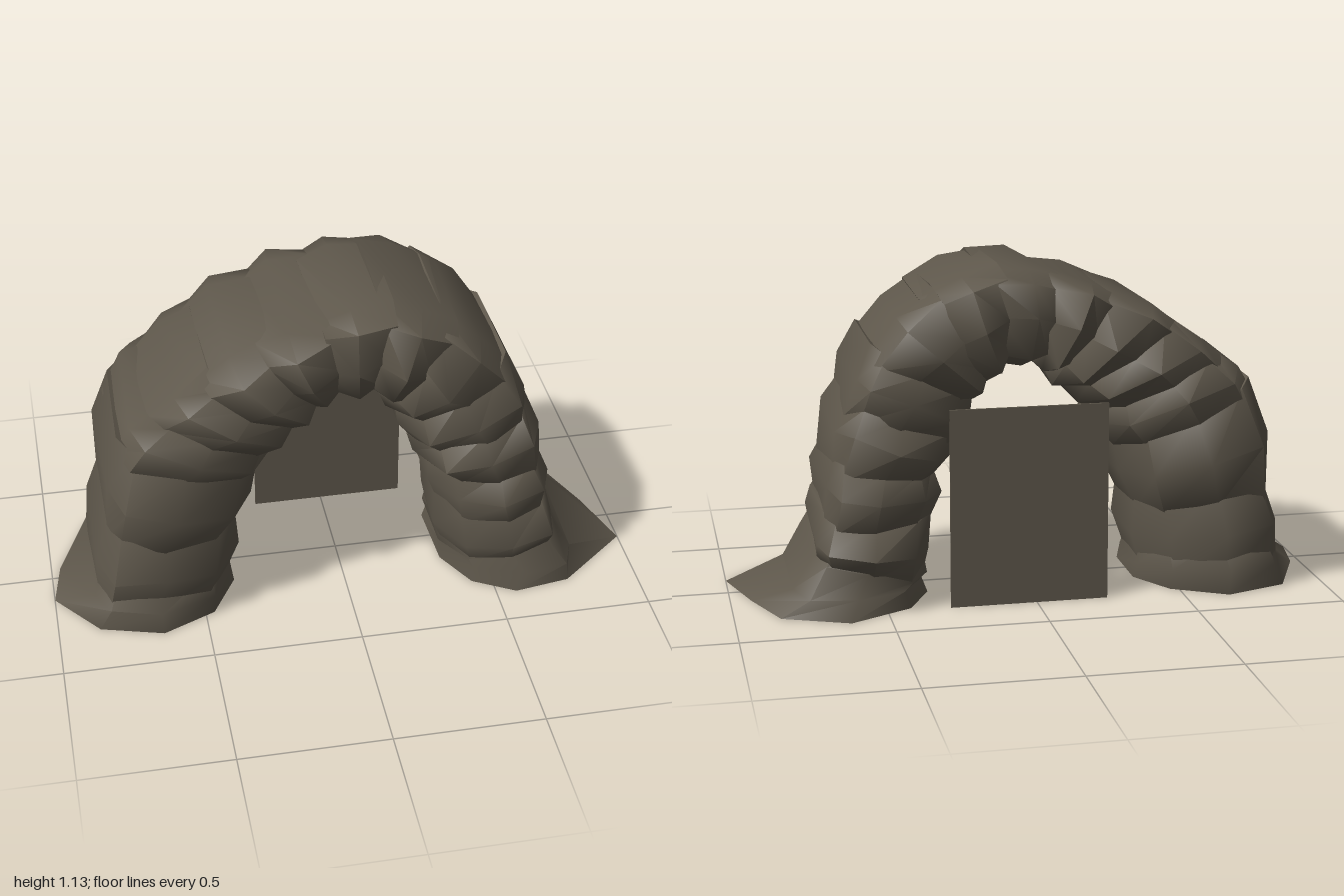
import * as THREE from 'three';
import { toCreasedNormals } from 'three/addons/utils/BufferGeometryUtils.js';

// Block cross-section, square outside and rounded inside: [radial, depth], both -1..1
const SECTION = [[1, -0.62], [1, 0.62], [0.82, 0.93], [0.1, 1], [-0.65, 0.83],
  [-1, 0.36], [-1, -0.36], [-0.65, -0.83], [0.1, -1], [0.82, -0.93]];

// Joints between stones, from left to right: inner x, y, outer x, y
const JOINTS = [
  [-0.39, 0.06, -0.87, 0.09], [-0.36, 0.28, -0.82, 0.36], [-0.28, 0.49, -0.77, 0.67],
  [-0.23, 0.6, -0.65, 0.8], [-0.13, 0.68, -0.48, 0.92], [-0.07, 0.74, -0.28, 1.02],
  [-0.03, 0.78, -0.07, 1.09], [0.08, 0.77, 0.13, 1.12], [0.13, 0.71, 0.35, 1.04],
  [0.17, 0.65, 0.54, 0.86], [0.23, 0.53, 0.62, 0.68], [0.3, 0.42, 0.67, 0.48],
  [0.32, 0.27, 0.70, 0.3], [0.35, 0.07, 0.72, 0.17]];

// Ground outlines of the feet: x, z
const FOOT_A = [[-0.97, -0.05], [-1, 0.12], [-0.86, 0.3], [-0.65, 0.36], [-0.47, 0.28],
  [-0.38, 0.12], [-0.38, -0.11], [-0.47, -0.26], [-0.65, -0.36], [-0.86, -0.29]];
const FOOT_B = [[0.93, -0.1], [1, 0.13], [0.76, 0.33], [0.57, 0.36], [0.43, 0.28],
  [0.35, 0.13], [0.34, -0.12], [0.42, -0.28], [0.63, -0.39], [0.85, -0.3]];

let seed = 11;
const jitter = (a) => {
  seed = (seed * 16807) % 2147483647;
  return (seed / 2147483647 - 0.5) * 2 * a;
};

// Ring of points around the line from inner to outer edge
function ring([ix, iy, ox, oy], scale, depth, rough = 0.012) {
  const mx = (ix + ox) / 2, my = (iy + oy) / 2;
  const ex = (ox - ix) / 2 * scale, ey = (oy - iy) / 2 * scale;
  return SECTION.map(([u, w]) => [
    mx + ex * u + jitter(rough),
    Math.max(0, my + ey * u + jitter(rough)),
    w * depth + jitter(rough)]);
}

const mix = (a, b, t) => a.map((v, i) => v + (b[i] - v) * t);

// Closed rock skinned over successive rings
function rock(rings, material, name) {
  const n = SECTION.length, pos = [], index = [];
  rings.forEach((r) => r.forEach((p) => pos.push(...p)));
  for (let k = 0; k < rings.length - 1; k++) {
    for (let i = 0; i < n; i++) {
      const a = k * n + i, b = k * n + (i + 1) % n;
      index.push(a, b, b + n, a, b + n, a + n);
    }
  }
  const last = (rings.length - 1) * n;
  for (let i = 1; i < n - 1; i++) {
    index.push(0, i + 1, i, last, last + i, last + i + 1);
  }
  const geo = new THREE.BufferGeometry();
  geo.setAttribute('position', new THREE.Float32BufferAttribute(pos, 3));
  geo.setIndex(index);
  const mesh = new THREE.Mesh(toCreasedNormals(geo, 1.1), material);
  mesh.name = name;
  return mesh;
}

export function createModel() {
  const group = new THREE.Group();
  group.name = 'stoneArch';
  const stone = new THREE.MeshStandardMaterial({ color: 0x5e574b });
  stone.name = 'stone';

  // Arch stones, bulging between their joints and overlapping their neighbours
  for (let i = 0; i < JOINTS.length - 1; i++) {
    const a = JOINTS[i], b = JOINTS[i + 1];
    const depth = 0.365 + jitter(0.012);
    group.add(rock([
      ring(mix(a, b, -0.12), 0.94, 0.31),
      ring(mix(a, b, 0.5 + jitter(0.12)), 1.04, depth),
      ring(mix(a, b, 1.12), 0.94, 0.31),
    ], stone, 'archStone' + (i + 1)));
  }

  // Feet spreading flat onto the ground
  const ground = (outline) => outline.map(([x, z]) => [x, 0, z]);
  group.add(rock([
    ground(FOOT_A),
    ring(JOINTS[0], 1, 0.345),
    ring(mix(JOINTS[0], JOINTS[1], 0.4), 0.88, 0.3),
  ], stone, 'rightFoot'));
  group.add(rock([
    ring(mix(JOINTS[13], JOINTS[12], 0.4), 0.95, 0.3),
    ring(JOINTS[13], 1.02, 0.32),
    ring([0.36, 0.06, 0.8, 0.06], 1, 0.34, 0.008),
    ground(FOOT_B),
  ], stone, 'leftFoot'));

  // Flat door panel at the back of the opening
  const panel = new THREE.Mesh(new THREE.BoxGeometry(0.53, 0.67, 0.008), stone);
  panel.position.set(0.025, 0.335, -0.3);
  panel.name = 'doorPanel';
  group.add(panel);

  return group;
}
